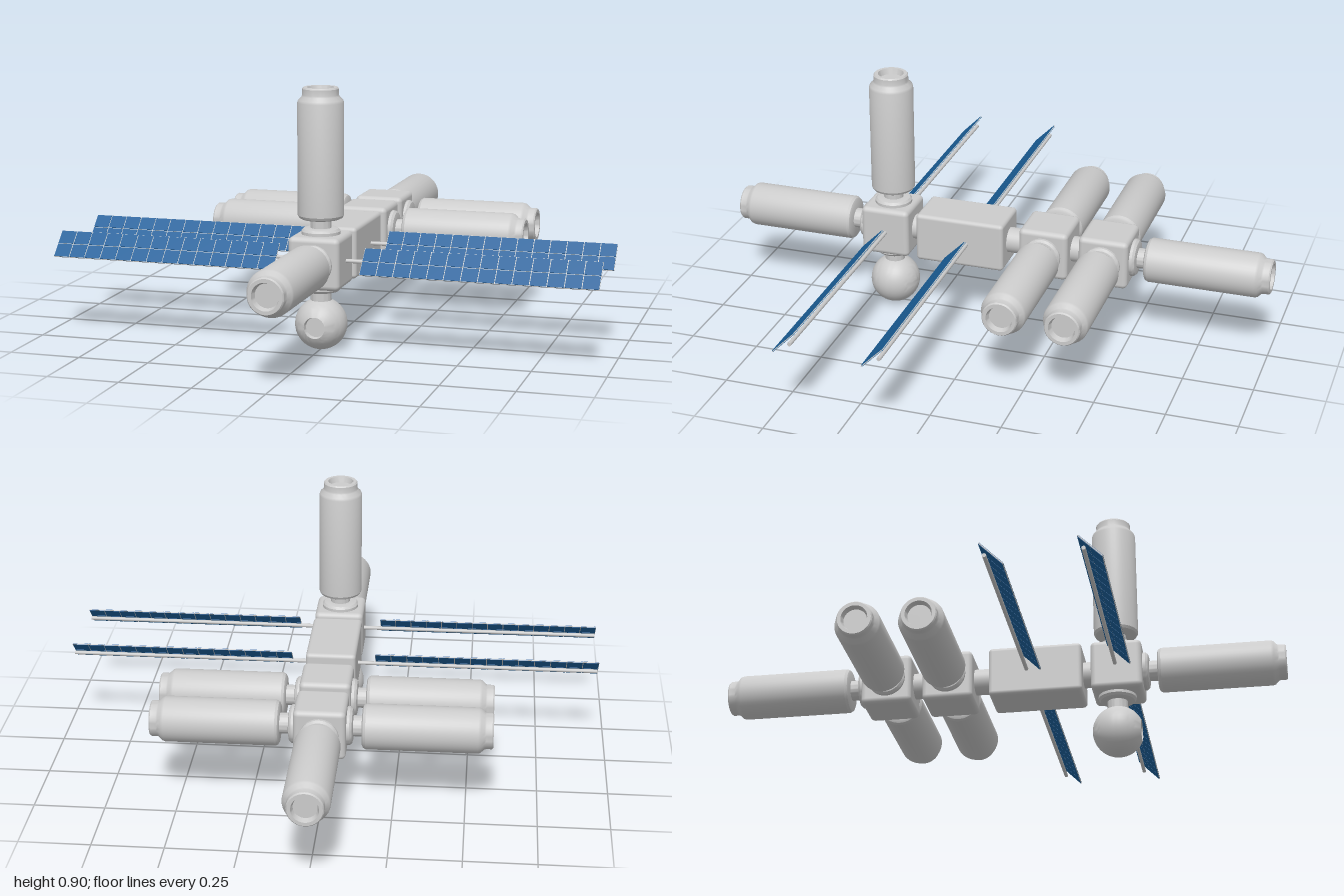
import * as THREE from 'three';
import { RoundedBoxGeometry } from 'three/addons/geometries/RoundedBoxGeometry.js';
import { toCreasedNormals } from 'three/addons/utils/BufferGeometryUtils.js';

const AXIS_Y = 0.313;
const UP = new THREE.Vector3(0, 1, 0);
const X = new THREE.Vector3(1, 0, 0);
const Z = new THREE.Vector3(0, 0, 1);

const grey = new THREE.MeshStandardMaterial({ color: 0xcccccc });
const blue = new THREE.MeshStandardMaterial({ color: 0x1b609a });

// Turned part with crisp edges; profile is [radius, height] pairs
function turned(profile, segments = 40) {
  const points = profile.map(([r, h]) => new THREE.Vector2(r, h));
  return toCreasedNormals(new THREE.LatheGeometry(points, segments), 0.5);
}

function add(parent, name, geometry, material, x = 0, y = 0, z = 0) {
  const mesh = new THREE.Mesh(geometry, material);
  mesh.name = name;
  mesh.position.set(x, y, z);
  parent.add(mesh);
  return mesh;
}

// Docking port and pressurised cylinder, measured outward from a node centre
const portGeometry = turned([
  [0, 0.08], [0.067, 0.08], [0.067, 0.1], [0.06, 0.108], [0.047, 0.111],
  [0.036, 0.111], [0.036, 0.148], [0, 0.148],
]);
const cylinderGeometry = turned([
  [0, 0.142], [0.066, 0.142], [0.074, 0.146], [0.079, 0.155], [0.079, 0.538],
  [0.076, 0.547], [0.064, 0.559], [0.062, 0.565], [0.062, 0.585], [0.058, 0.59],
  [0.046, 0.59], [0.04, 0.57], [0, 0.57],
]);

// Port, optionally carrying a cylinder module, pointing along a direction
function addArm(parent, name, z, direction, withCylinder = true) {
  const arm = new THREE.Group();
  arm.name = name;
  arm.position.set(0, AXIS_Y, z);
  arm.quaternion.setFromUnitVectors(UP, direction);
  add(arm, 'dockingPort', portGeometry, grey);
  if (withCylinder) add(arm, 'cylinderModule', cylinderGeometry, grey);
  parent.add(arm);
}

// Tilted solar wing reaching out to one side, with its boom behind
function addWing(parent, name, side, z) {
  const wing = new THREE.Group();
  wing.name = name;
  const inner = 0.152, length = 0.812, width = 0.11, columns = 14, rows = 2;
  const boom = add(wing, 'boom', new THREE.CylinderGeometry(0.007, 0.007, 0.88, 12), grey,
    side * 0.52, AXIS_Y, z);
  boom.rotation.z = Math.PI / 2;

  const panel = new THREE.Group();
  panel.name = 'solarPanel';
  panel.position.set(side * (inner + length / 2), AXIS_Y + 0.004, z + 0.021);
  panel.rotation.x = -Math.PI / 4;
  add(panel, 'panelFrame', new THREE.BoxGeometry(length, width, 0.003), grey);
  const cw = length / columns, ch = width / rows;
  const cell = new THREE.BoxGeometry(cw - 0.003, ch - 0.003, 0.006);
  for (let i = 0; i < columns; i++) {
    for (let j = 0; j < rows; j++) {
      add(panel, 'solarCell', cell, blue,
        (i + 0.5) * cw - length / 2, (j + 0.5) * ch - width / 2, 0);
    }
  }
  wing.add(panel);
  parent.add(wing);
}

export function createModel() {
  const station = new THREE.Group();
  station.name = 'spaceStation';

  // Spine: three cubic nodes and one long core block
  const nodeGeometry = new RoundedBoxGeometry(0.18, 0.18, 0.18, 3, 0.018);
  add(station, 'frontNode', nodeGeometry, grey, 0, AXIS_Y, 0.41);
  add(station, 'middleNode', nodeGeometry, grey, 0, AXIS_Y, -0.19);
  add(station, 'rearNode', nodeGeometry, grey, 0, AXIS_Y, -0.41);
  add(station, 'coreBlock', new RoundedBoxGeometry(0.18, 0.18, 0.33, 3, 0.014), grey,
    0, AXIS_Y, 0.124);

  // Short tunnels joining the spine
  const tunnel = new THREE.CylinderGeometry(0.046, 0.046, 0.08, 32);
  for (const z of [0.305, -0.07, -0.3]) {
    add(station, 'tunnel', tunnel, grey, 0, AXIS_Y, z).rotation.x = Math.PI / 2;
  }

  // Cylinder modules at both ends, on top and on the sides
  addArm(station, 'frontModule', 0.41, Z);
  addArm(station, 'rearModule', -0.41, Z.clone().negate());
  addArm(station, 'towerModule', 0.405, UP);
  for (const z of [-0.19, -0.408]) {
    addArm(station, 'leftModule', z, X);
    addArm(station, 'rightModule', z, X.clone().negate());
  }

  // Spherical pod under the front node, with a recessed hatch facing forward
  addArm(station, 'podPort', 0.405, UP.clone().negate(), false);
  const radius = 0.09, hatch = 0.037;
  const cut = Math.asin(hatch / radius);
  const profile = [];
  for (let i = 0; i <= 24; i++) {
    const a = Math.PI - (i / 24) * (Math.PI - cut);
    profile.push([radius * Math.sin(a), radius * Math.cos(a)]);
  }
  profile.push([0.034, 0.066], [0, 0.066]);
  const pod = add(station, 'sphericalPod', turned(profile), grey, 0, radius, 0.405);
  pod.rotation.x = Math.PI / 2;

  // Solar wings on both sides of the front node and the core block
  for (const side of [-1, 1]) {
    addWing(station, 'frontSolarWing', side, 0.407);
    addWing(station, 'rearSolarWing', side, 0.095);
  }
  return station;
}
